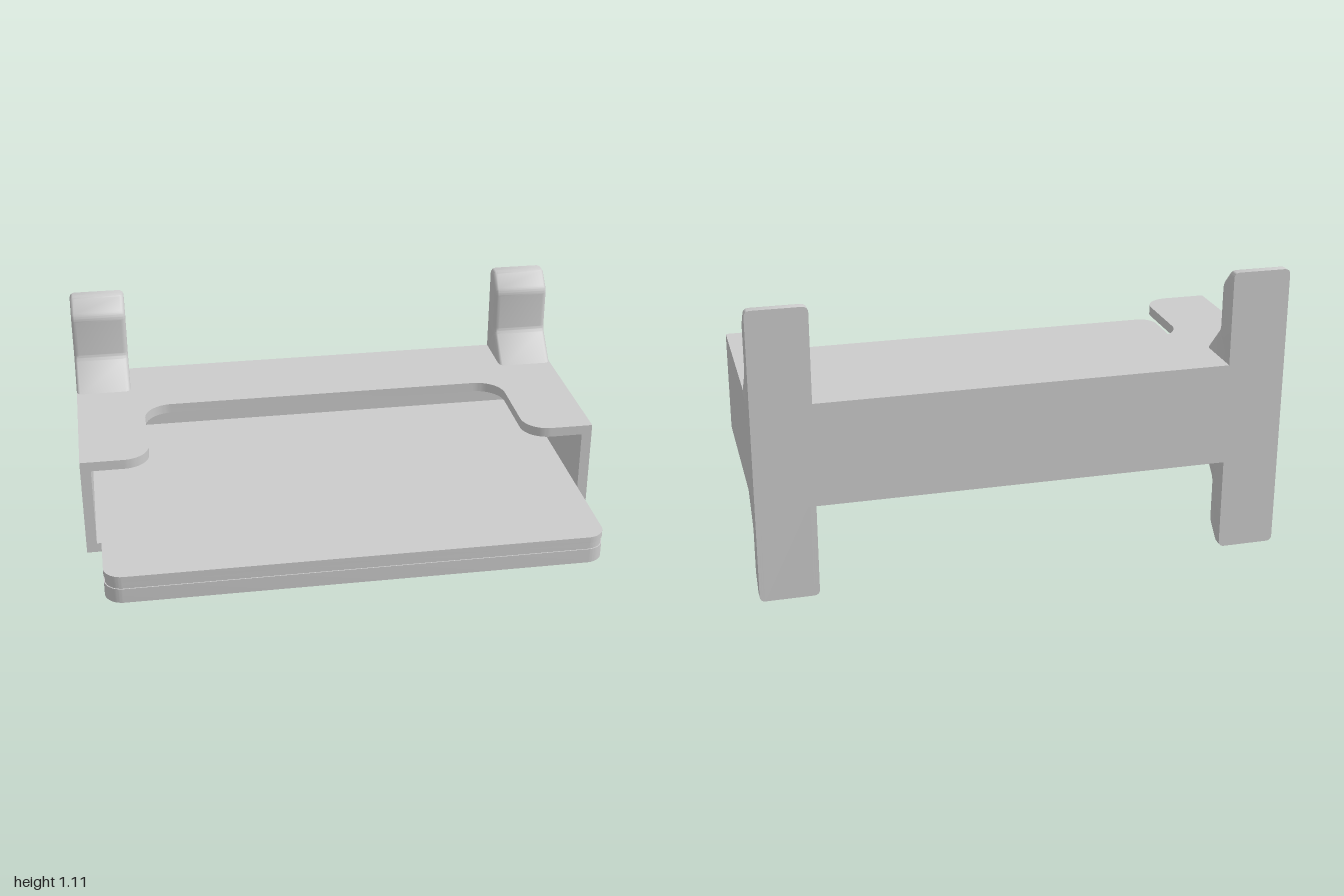
import * as THREE from 'three';
import { toCreasedNormals } from 'three/addons/utils/BufferGeometryUtils.js';

const MID = 0.555; // height of the symmetry plane of the bracket
const BACK = -0.63, FRONT = 0.19;
const grey = new THREE.MeshStandardMaterial({ color: 0xcccccc });

function add(parent, name, geometry, x = 0, y = 0, z = 0) {
  const mesh = new THREE.Mesh(geometry, grey);
  mesh.name = name;
  mesh.position.set(x, y, z);
  parent.add(mesh);
  return mesh;
}

// Closed polygon from [x, y, cornerRadius] points, corners rounded by arcs
function roundedShape(points) {
  const shape = new THREE.Shape();
  const n = points.length;
  points.forEach(([x, y, r], i) => {
    const p = new THREE.Vector2(x, y);
    const prev = new THREE.Vector2(...points[(i + n - 1) % n].slice(0, 2)).sub(p).normalize();
    const next = new THREE.Vector2(...points[(i + 1) % n].slice(0, 2)).sub(p).normalize();
    const half = Math.acos(THREE.MathUtils.clamp(prev.dot(next), -1, 1)) / 2;
    const a = p.clone().addScaledVector(prev, r / Math.tan(half));
    if (i === 0) shape.moveTo(a.x, a.y); else shape.lineTo(a.x, a.y);
    if (r === 0) return;
    const c = prev.clone().add(next).normalize().multiplyScalar(r / Math.sin(half)).add(p);
    const b = p.clone().addScaledVector(next, r / Math.tan(half));
    const start = Math.atan2(a.y - c.y, a.x - c.x), end = Math.atan2(b.y - c.y, b.x - c.x);
    const clockwise = prev.x * next.y - prev.y * next.x > 0;
    shape.absarc(c.x, c.y, r, start, end, clockwise);
  });
  shape.closePath();
  return shape;
}

// Horizontal slab: shape y runs towards the back, thickness goes up
function slab(points, thickness) {
  const geo = new THREE.ExtrudeGeometry(roundedShape(points), {
    depth: thickness, bevelEnabled: false, curveSegments: 10,
  });
  return toCreasedNormals(geo.rotateX(-Math.PI / 2), 0.6);
}

// Plate with a wide notch open to the front
function plateGeometry() {
  const right = [[1, -BACK, 0], [-1, -BACK, 0]];
  return slab([
    ...right,
    [-1, -FRONT, 0], [-0.735, -FRONT, 0.1], [-0.735, 0.26, 0.11],
    [0.735, 0.26, 0.11], [0.735, -FRONT, 0.1], [1, -FRONT, 0],
  ], 0.038);
}

// Mounting ear: softened profile, flat at the back and at the plate
function earGeometry() {
  const width = 0.22, bevel = 0.02, foot = 0.175;
  const profile = roundedShape([
    [BACK - 0.06, 0.1, 0], [-0.31, 0.1, 0], [-0.405, 0.195, 0],
    [-0.52, 0.31, 0.04], [-0.52, 0.487, 0.05], [-0.588, 0.555, 0.03],
    [BACK - 0.06, 0.555, 0],
  ]);
  const geo = new THREE.ExtrudeGeometry(profile, {
    depth: width - 2 * bevel, bevelThickness: bevel, bevelSize: bevel,
    bevelOffset: -bevel, bevelSegments: 4, curveSegments: 6,
  });
  geo.translate(0, 0, -(width / 2 - bevel)).rotateY(-Math.PI / 2);
  const pos = geo.attributes.position;
  for (let i = 0; i < pos.count; i++) {
    pos.setZ(i, Math.max(pos.getZ(i), BACK));
    pos.setY(i, Math.max(pos.getY(i), foot));
  }
  return toCreasedNormals(geo, 0.6);
}

// Tray layer with rounded corners
function trayLayer(inset, thickness) {
  const x = 0.94 - inset, f = -0.63 + inset, b = 0.57 - inset, r = 0.07 - inset;
  return slab([[x, f, r], [x, b, r], [-x, b, r], [-x, f, r]], thickness);
}

export function createModel() {
  const model = new THREE.Group();
  const bracket = new THREE.Group();
  bracket.name = 'bracket';
  model.add(bracket);

  // Box-like sleeve
  const plate = plateGeometry();
  add(bracket, 'topPlate', plate, 0, 0.714, 0);
  add(bracket, 'bottomPlate', plate, 0, 0.358, 0);
  add(bracket, 'backWall', new THREE.BoxGeometry(2, 0.32, 0.04), 0, MID, BACK + 0.02);
  for (const side of [-1, 1]) {
    const label = side > 0 ? 'left' : 'right';
    add(bracket, label + 'Wall', new THREE.BoxGeometry(0.04, 0.32, FRONT - BACK),
      side * 0.98, MID, (FRONT + BACK) / 2);
  }

  // Four mounting ears
  const ear = earGeometry();
  for (const side of [-1, 1]) {
    const label = side > 0 ? 'left' : 'right';
    add(bracket, label + 'UpperEar', ear, side * 0.89, MID, 0);
    add(bracket, label + 'LowerEar', ear, side * 0.89, MID, 0).rotation.z = Math.PI;
  }

  // Sliding tray in stacked layers with a fine recessed band
  const tray = new THREE.Group();
  tray.name = 'tray';
  model.add(tray);
  add(tray, 'trayBottom', trayLayer(0, 0.058), 0, 0.4, 0);
  add(tray, 'trayBand', trayLayer(0.004, 0.027), 0, 0.458, 0);
  add(tray, 'trayTop', trayLayer(0, 0.025), 0, 0.485, 0);
  return model;
}
